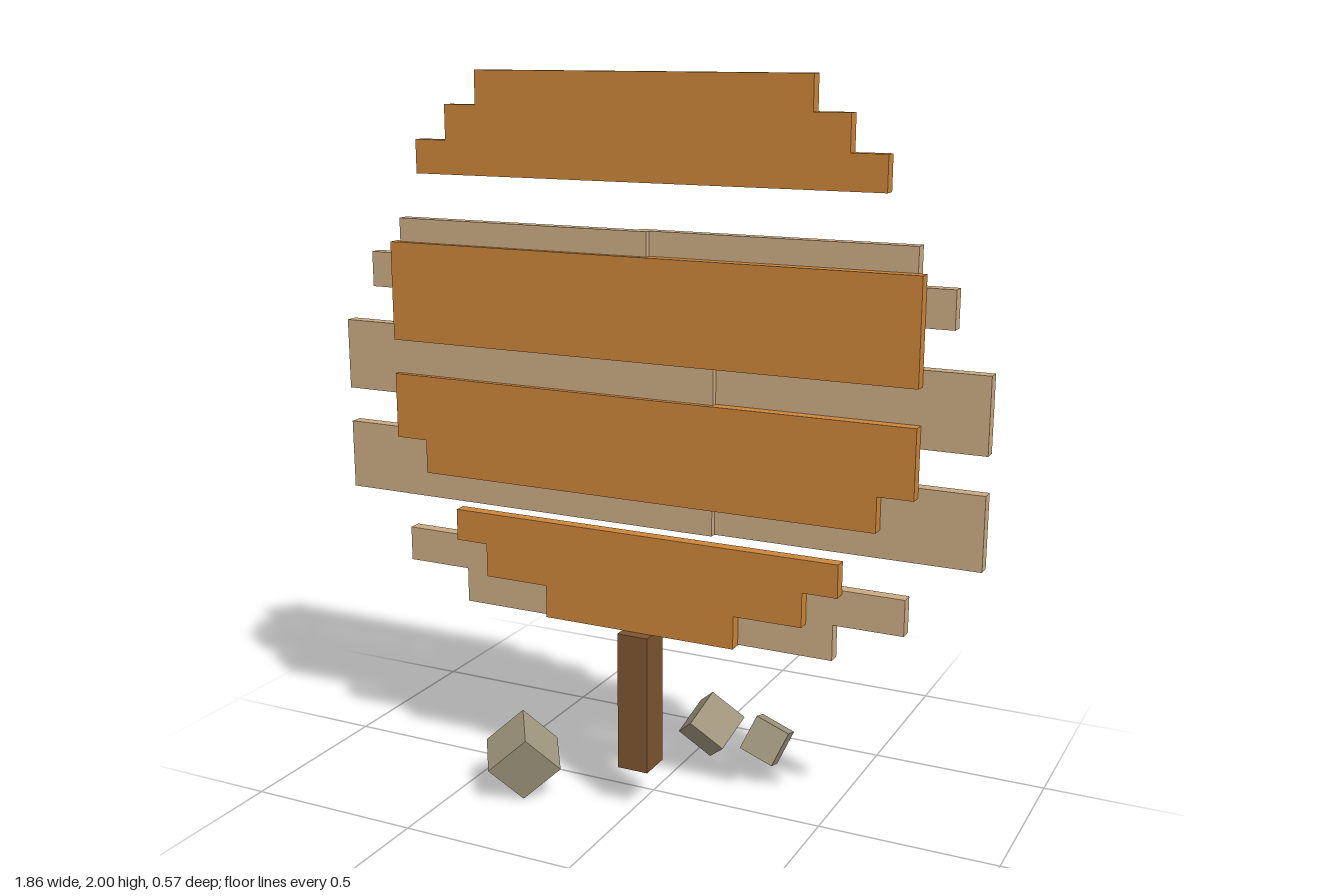
import * as THREE from 'three';

const mat = (name, color) => {
  const m = new THREE.MeshStandardMaterial({ color });
  m.name = name;
  return m;
};

export function createModel() {
  const orange = mat('orange', 0xcc853a);
  const tan = mat('tan', 0xcaab82);
  const brown = mat('brown', 0x7d552f);
  const stone = mat('stone', 0xa1977e);

  const model = new THREE.Group();
  model.name = 'slattedTree';
  const add = (name, geometry, material) => {
    const mesh = new THREE.Mesh(geometry, material);
    mesh.name = name;
    model.add(mesh);
    return mesh;
  };

  // Stepped board: rows run top to bottom as [yTop, yBottom, xMin, xMax]
  const board = (name, rows, z0, z1, material) => {
    const pts = [];
    for (const [t, b, , r] of rows) pts.push(new THREE.Vector2(r, t), new THREE.Vector2(r, b));
    for (const [t, b, l] of [...rows].reverse()) pts.push(new THREE.Vector2(l, b), new THREE.Vector2(l, t));
    const geo = new THREE.ExtrudeGeometry(new THREE.Shape(pts), { depth: z1 - z0, bevelEnabled: false });
    add(name, geo.translate(0, 0, z0), material);
  };

  // Front boards, symmetric: [yTop, yBottom, halfWidth]
  [
    [[2, 1.91, 0.474], [1.91, 1.816, 0.57], [1.816, 1.725, 0.665]],
    [[1.535, 1.26, 0.76]],
    [[1.163, 0.979, 0.76], [0.979, 0.884, 0.665]],
    [[0.788, 0.698, 0.57], [0.698, 0.603, 0.474], [0.603, 0.511, 0.283]],
  ].forEach((rows, i) =>
    board(`frontBoard${i + 1}`, rows.map(([t, b, w]) => [t, b, -w, w]), 0.068, 0.103, orange));

  // Back boards: overlapping mirrored halves, the +x half set further back
  [
    [[1.6, 1.502, -0.738, 0.021], [1.502, 1.404, -0.834, 0.118]],
    [[1.302, 1.104, -0.929, 0.212]],
    [[1.005, 0.81, -0.929, 0.212]],
    [[0.709, 0.611, -0.738, 0.021], [0.611, 0.513, -0.548, -0.17]],
  ].forEach((rows, i) => {
    board(`backBoardRight${i + 1}`, rows, 0.051, 0.087, tan);
    board(`backBoardLeft${i + 1}`, rows.map(([t, b, l, r]) => [t, b, -r, -l]), 0.034, 0.069, tan);
  });

  // Trunk
  add('trunk', new THREE.BoxGeometry(0.09, 0.394, 0.096).translate(0, 0.314, 0.085), brown);

  // Tilted cube stones, oriented by two edge directions
  const rock = (name, size, center, a, b) => {
    const x = new THREE.Vector3(...a).normalize();
    const z = x.clone().cross(new THREE.Vector3(...b)).normalize();
    const y = z.clone().cross(x);
    const mesh = add(name, new THREE.BoxGeometry(size, size, size), stone);
    mesh.quaternion.setFromRotationMatrix(new THREE.Matrix4().makeBasis(x, y, z));
    mesh.position.set(...center);
  };
  rock('largeStone', 0.143, [-0.328, 0.114, 0.17], [0.1, 0.095, -0.037], [0.0635, -0.106, -0.072]);
  rock('mediumStone', 0.117, [0.101, 0.151, -0.176], [-0.069, -0.065, -0.069], [0.084, -0.076, -0.03]);
  rock('smallStone', 0.104, [0.26, 0.118, -0.214], [0.098, -0.04, -0.005], [0.037, 0.087, -0.04]);

  return model;
}
